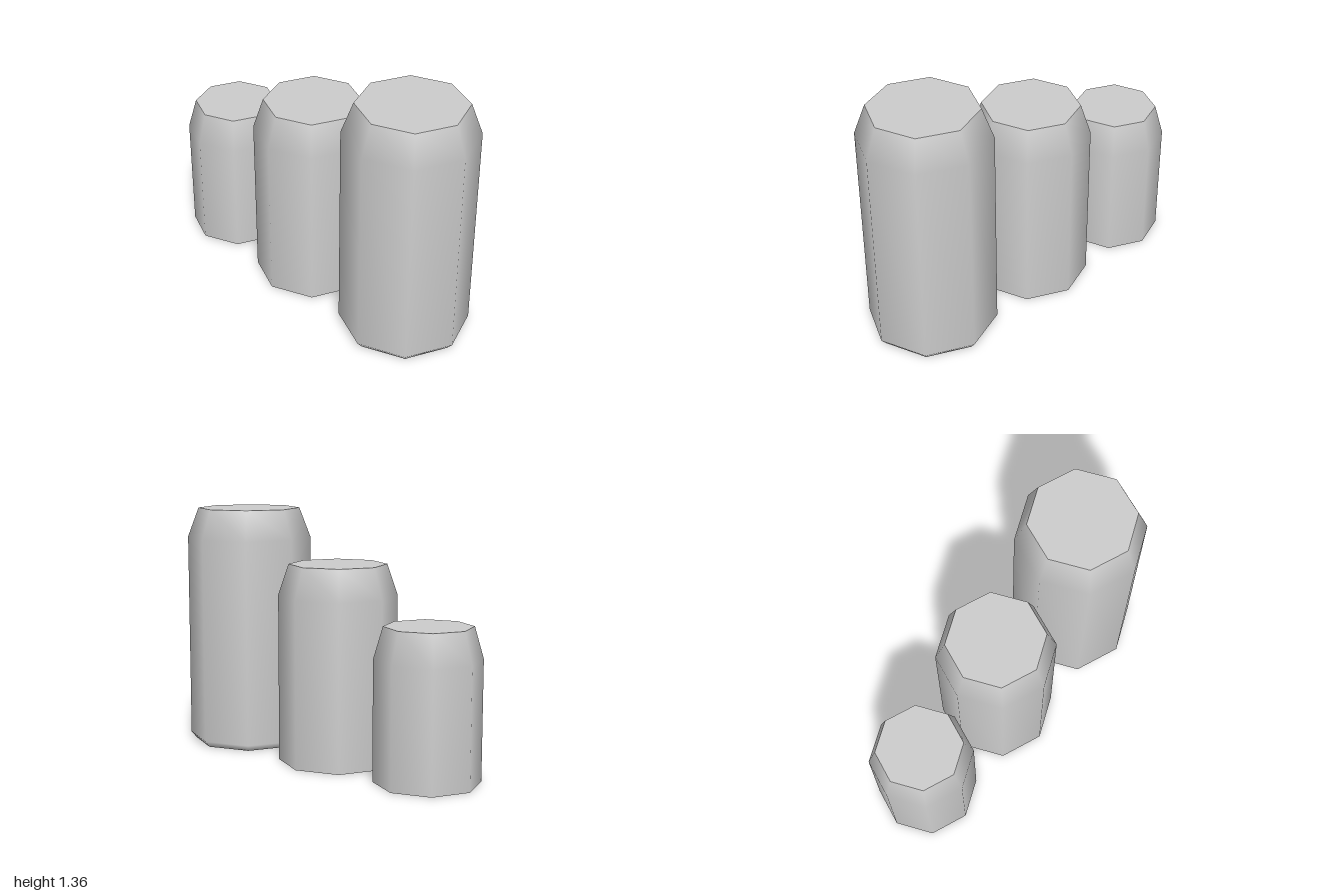
import * as THREE from 'three';

const SIDES = 8;

export function createModel() {
  const group = new THREE.Group();
  group.name = 'canSet';
  const metal = new THREE.MeshStandardMaterial({ color: 0xcccccc });
  metal.name = 'plain grey';

  // Flat octagonal disc, facing up or down
  function disc(name, radius, y, up) {
    const geometry = new THREE.CircleGeometry(radius, SIDES);
    geometry.rotateX(up ? -Math.PI / 2 : Math.PI / 2);
    const mesh = new THREE.Mesh(geometry, metal);
    mesh.name = name;
    mesh.position.y = y;
    return mesh;
  }

  // Eight-sided can with smooth walls and a tapered shoulder
  function can({ name, x, radius, topRadius, shoulder, height, foot }) {
    const part = new THREE.Group();
    part.name = name;
    part.position.x = x;

    // A bevelled foot runs smoothly into the base; otherwise the base is a sharp disc
    const profile = foot
      ? [[0, 0], [foot.radius, 0], [radius, foot.height]]
      : [[radius, 0]];
    profile.push([radius, shoulder], [topRadius, height]);

    const body = new THREE.Mesh(
      new THREE.LatheGeometry(profile.map(([r, y]) => new THREE.Vector2(r, y)), SIDES),
      metal
    );
    body.name = 'body';
    part.add(body, disc('lid', topRadius, height, true));
    if (!foot) part.add(disc('base', radius, 0, false));
    return part;
  }

  group.add(
    can({ name: 'smallCan', x: -0.716, radius: 0.284, topRadius: 0.235, shoulder: 0.65, height: 0.82 }),
    can({ name: 'mediumCan', x: -0.07, radius: 0.325, topRadius: 0.268, shoulder: 0.92, height: 1.09 }),
    can({
      name: 'largeCan', x: 0.646, radius: 0.354, topRadius: 0.291, shoulder: 1.195, height: 1.362,
      foot: { radius: 0.325, height: 0.035 }
    })
  );
  return group;
}
